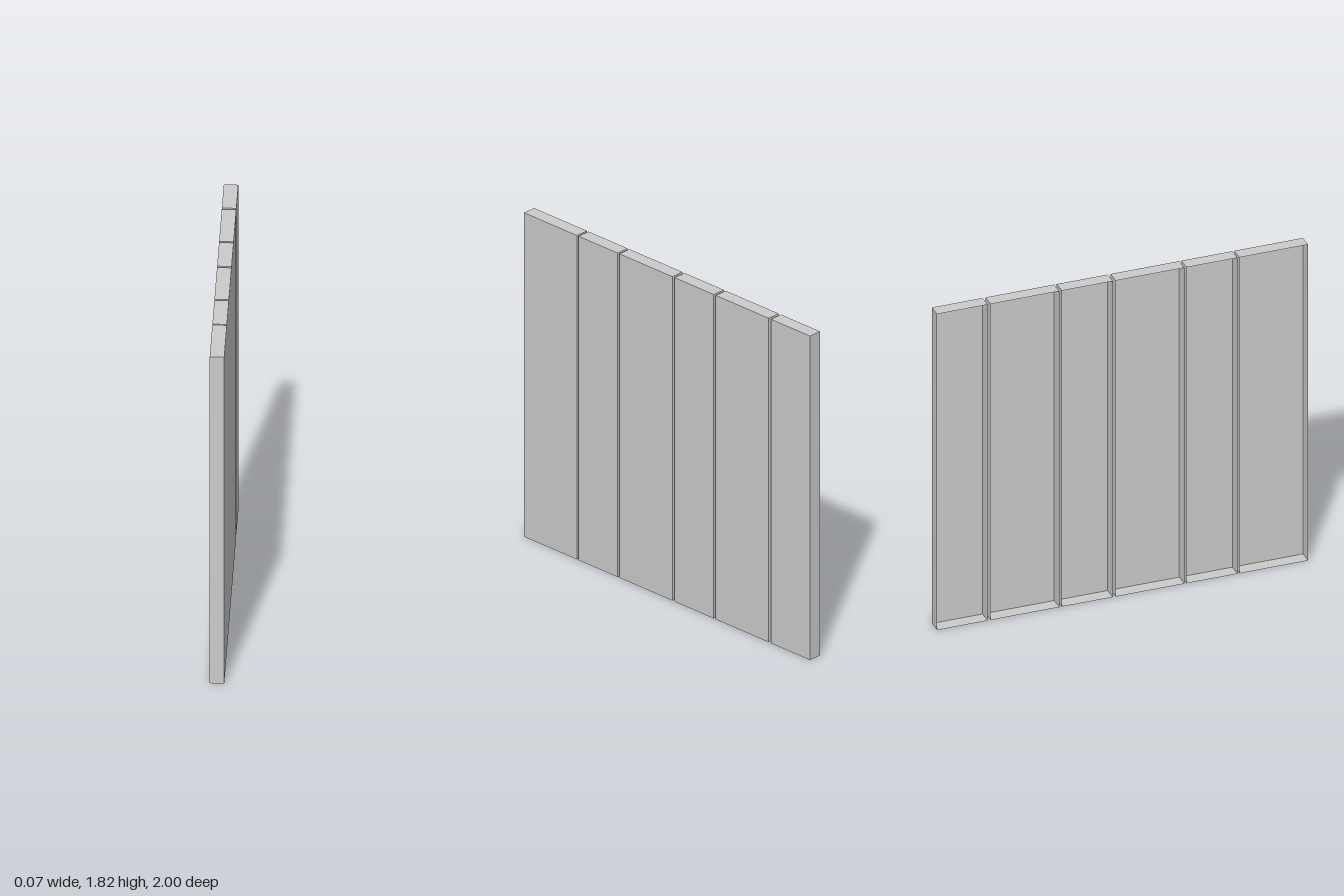
import * as THREE from 'three';

const HEIGHT = 1.822;
const DEPTH = 0.073;

// Each panel's extent along z, from the front end to the back end
const SPANS = [
  [1, 0.63],
  [0.619, 0.345],
  [0.333, -0.037],
  [-0.053, -0.327],
  [-0.341, -0.711],
  [-0.727, -1],
];

// Thin tray: a box without its -x face
function openTray(width) {
  const geometry = new THREE.BoxGeometry(DEPTH, HEIGHT, width);
  const index = Array.from(geometry.index.array);
  index.splice(6, 6); // the second face of a box is -x
  geometry.setIndex(index);
  geometry.clearGroups();
  return geometry;
}

export function createModel() {
  const group = new THREE.Group();
  group.name = 'panelledWall';
  const material = new THREE.MeshStandardMaterial({ color: 0xcccccc, side: THREE.DoubleSide });

  // Row of upright panels with narrow gaps between them
  SPANS.forEach(([front, back], i) => {
    const panel = new THREE.Mesh(openTray(front - back), material);
    panel.name = `panel${i + 1}`;
    panel.position.set(0, HEIGHT / 2, (front + back) / 2);
    group.add(panel);
  });
  return group;
}
